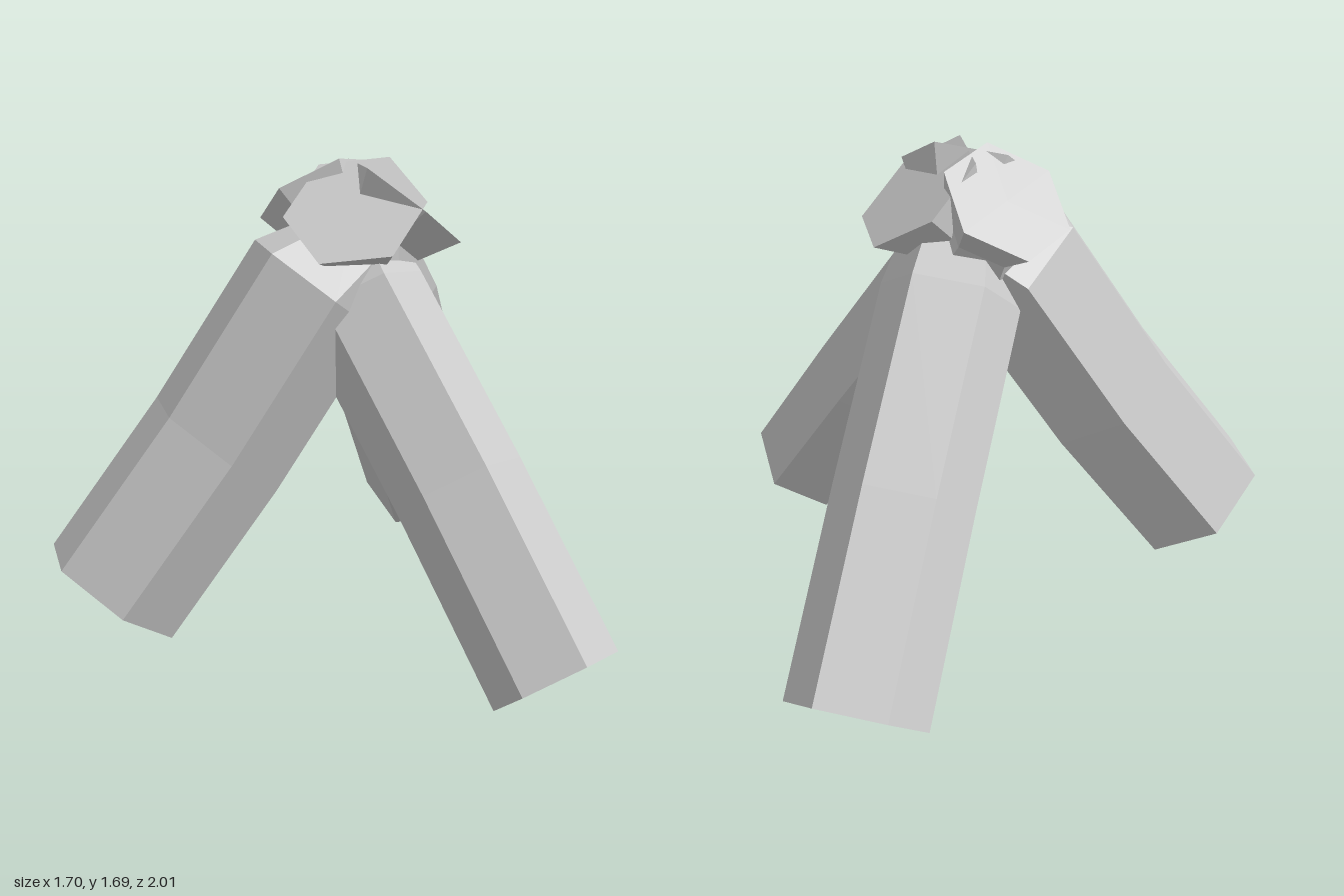
import * as THREE from 'three';

// Distances below the top of a log
const SHOULDER = 0.41;
const WAIST = 0.13;

// foot and top are the centres of the end faces, corner points from the
// centre to one hexagon corner, bow shifts the shoulder off the straight axis
const LOGS = [
  { name: 'leftLog', foot: [0.685, 0.125, 0.14], top: [-0.335, 1.575, 0.08], corner: [0.025, 0.02, 0.21], bow: [0, 0, 0.05], radius: 0.216, headRadius: 0.214 },
  { name: 'frontLog', foot: [-0.64, 0.3, 0.78], top: [-0.055, 1.55, -0.025], corner: [0.01, 0.13, 0.22], bow: [0, 0.06, 0.06], radius: 0.252, headRadius: 0.232 },
  { name: 'backLog', foot: [-0.635, 0.3, -0.85], top: [-0.06, 1.545, 0.215], corner: [-0.01, 0.14, -0.2], bow: [0, -0.02, 0.02], radius: 0.224, headRadius: 0.23 },
];

function makeLog({ name, foot, top, corner, bow, radius, headRadius }, material) {
  const start = new THREE.Vector3(...foot);
  const axis = new THREE.Vector3(...top).sub(start);
  const length = axis.length();
  const shoulder = length - SHOULDER;
  axis.normalize();

  // Six-sided log: flat foot, straight shaft, pinched waist and flared head
  const profile = [
    [0, 0], [radius, 0], [radius, shoulder / 2], [radius, shoulder],
    [0.155, length - WAIST], [headRadius, length], [0, length],
  ].map(([r, y]) => new THREE.Vector2(r, y));
  const geometry = new THREE.LatheGeometry(profile, 6);

  // Turn the log onto its axis with a corner in the wanted direction
  const z = new THREE.Vector3(...corner);
  z.addScaledVector(axis, -z.dot(axis)).normalize();
  const x = new THREE.Vector3().crossVectors(axis, z);
  const matrix = new THREE.Matrix4().makeBasis(x, axis, z).setPosition(start);

  // Bend the shaft, most at the shoulder, leaving foot and head in place
  const bend = new THREE.Vector3(...bow);
  const pos = geometry.attributes.position;
  const v = new THREE.Vector3();
  for (let i = 0; i < pos.count; i++) {
    v.fromBufferAttribute(pos, i);
    const amount = v.y < shoulder + 0.01 ? (v.y / shoulder) ** 2 : 0;
    v.applyMatrix4(matrix).addScaledVector(bend, amount);
    pos.setXYZ(i, v.x, v.y, v.z);
  }
  geometry.computeVertexNormals();

  const mesh = new THREE.Mesh(geometry, material);
  mesh.name = name;
  return mesh;
}

export function createModel() {
  const model = new THREE.Group();
  model.name = 'leaningLogs';
  const material = new THREE.MeshStandardMaterial({ color: 0xcccccc, flatShading: true });
  for (const log of LOGS) model.add(makeLog(log, material));
  return model;
}
